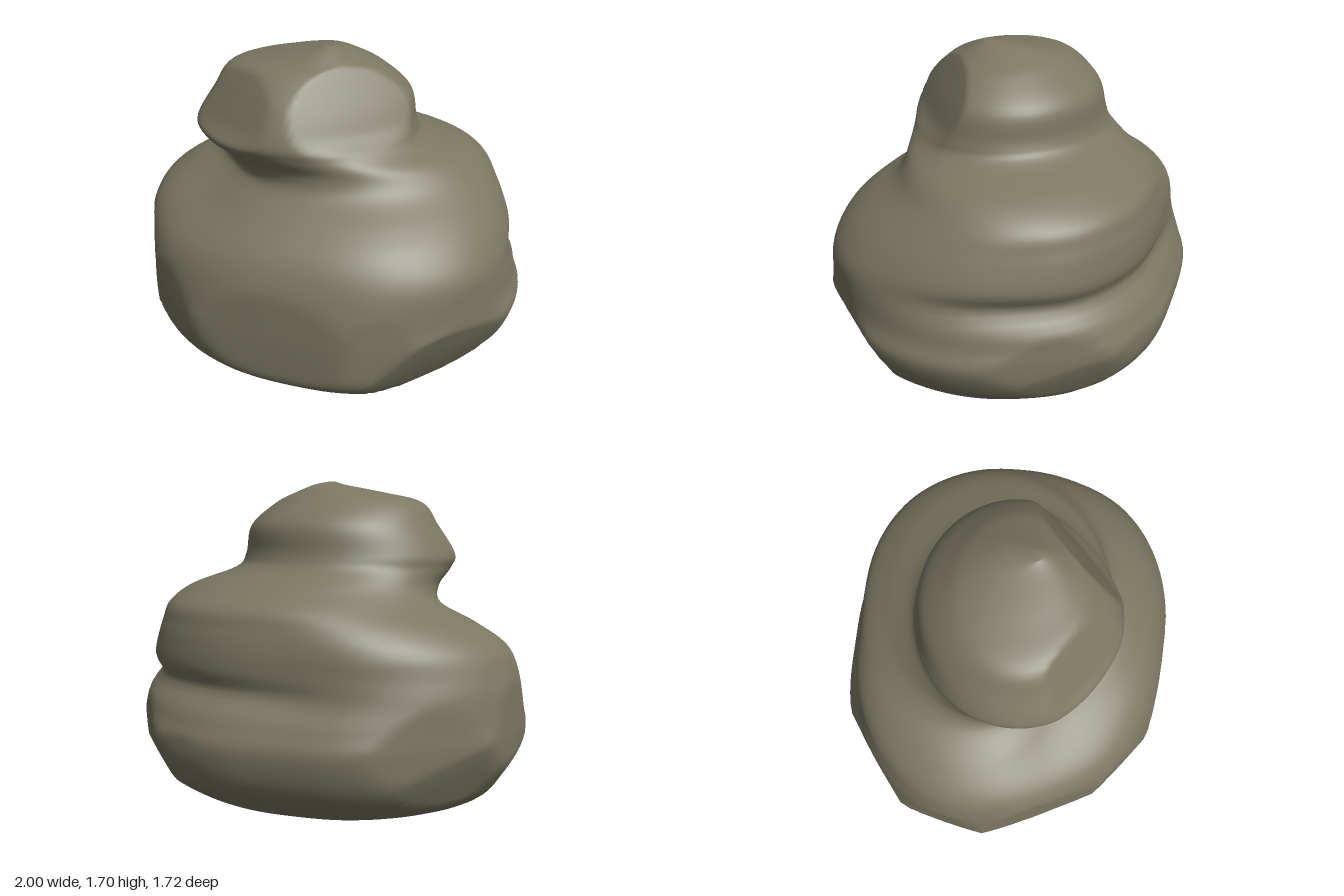
import * as THREE from 'three';

// Horizontal cross-sections of the boulder: y, xMin, xMax, zMin, zMax
const LEVELS = [
  [0.0, 0.05, 0.15, -0.05, 0.05],
  [0.03, -0.12, 0.33, -0.27, 0.24],
  [0.1, -0.45, 0.55, -0.47, 0.46],
  [0.19, -0.79, 0.76, -0.66, 0.66],
  [0.32, -0.91, 0.91, -0.81, 0.82],
  [0.5, -1.0, 0.995, -0.86, 0.86],
  [0.62, -0.985, 0.965, -0.825, 0.845],
  [0.8, -0.95, 0.94, -0.765, 0.8],
  [0.92, -0.9, 0.9, -0.755, 0.74],
  [1.02, -0.77, 0.85, -0.735, 0.64],
  [1.11, -0.6, 0.79, -0.7, 0.52],
  [1.19, -0.57, 0.69, -0.59, 0.49],
  [1.27, -0.61, 0.49, -0.46, 0.52],
  [1.34, -0.625, 0.445, -0.42, 0.53],
  [1.48, -0.54, 0.41, -0.39, 0.47],
  [1.59, -0.46, 0.29, -0.27, 0.36],
  [1.64, -0.27, 0.19, -0.18, 0.27],
  [1.68, -0.07, 0.1, -0.05, 0.19],
  [1.7, 0.0, 0.05, 0.1, 0.14],
];

// Body outline seen from above, relative to an ellipse, in equal turns from +x towards +z
const OUTLINE = [
  1.0, 1.03, 1.06, 1.07, 1.01, 0.99, 0.975, 0.95,
  0.995, 1.05, 1.06, 1.05, 1.0, 1.025, 1.03, 0.995,
];

// Flattened facets: nx, ny, nz, distance, lowest y, highest y
const FACETS = [
  [0.84, 0, -0.54, 0.92, 0, 1.1],
  [0.4, 0, -0.92, 0.9, 0, 1.1],
  [-0.55, 0, -0.835, 0.915, 0, 1.1],
  [-0.96, 0, -0.28, 0.988, 0, 1.1],
  [-0.924, 0, 0.382, 0.89, 0, 1.1],
  [-0.675, 0, 0.738, 0.87, 0, 1.1],
  [-0.14, 0, 0.99, 0.815, 0, 1.1],
  [0.28, 0, 0.96, 0.9, 0, 1.1],
  [0.78, 0, 0.62, 0.965, 0, 1.1],
  [0.6, -0.45, 0.6, 0.58, -0.1, 0.75],
  [-0.5, -0.55, 0.65, 0.57, -0.1, 0.7],
  [0.7, -0.4, -0.55, 0.65, -0.1, 0.7],
  [-0.6, -0.4, -0.65, 0.67, -0.1, 0.7],
  [0.55, 0.45, 0.7, 0.96, 1.2, 2],
  [-0.55, 0.45, 0.7, 1.08, 1.2, 2],
];

const SEGMENTS = 112;
const STEPS = 6;
const bump = (d, width, power = 2) => Math.exp(-(Math.abs(d / width) ** power));
const turnFrom = (angle, centre) => Math.atan2(Math.sin(angle - centre), Math.cos(angle - centre));

function catmull(a, b, c, d, t) {
  return b + 0.5 * t * (c - a + t * (2 * a - 5 * b + 4 * c - d + t * (3 * (b - c) + d - a)));
}

// Smoothly interpolated cross-section between two levels
function sectionAt(s) {
  const last = LEVELS.length - 1;
  const i = Math.min(Math.floor(s), last - 1);
  const row = (k) => LEVELS[Math.max(0, Math.min(last, k))];
  return LEVELS[0].map((_, c) => catmull(row(i - 1)[c], row(i)[c], row(i + 1)[c], row(i + 2)[c], s - i));
}

function outlineAt(angle) {
  const n = OUTLINE.length;
  const s = (angle / (Math.PI * 2)) * n;
  const i = Math.floor(s);
  const at = (k) => OUTLINE[(k + n) % n];
  return catmull(at(i - 1), at(i), at(i + 1), at(i + 2), s - i);
}

function surfacePoint(section, angle) {
  const [y, x0, x1, z0, z1] = section;
  let scale = THREE.MathUtils.lerp(outlineAt(angle), 1, THREE.MathUtils.smoothstep(y, 0.95, 1.2));

  // Crease running around the back and left side, dying out at both ends
  const turn = turnFrom(angle, -0.85);
  const creaseY = 0.75 + 0.03 * turn;
  scale -= 0.065 * bump(y - creaseY, 0.06) * bump(turn, 0.95, 4);
  // Fuller flank at the back right
  scale += 0.03 * bump(turnFrom(angle, 3.9), 0.45) * bump(y - 0.78, 0.14);
  // Square corner at the front left
  scale += 0.04 * bump(turnFrom(angle, 0.8), 0.35) * bump(y - 0.82, 0.17);
  // Lower shoulder at the front right
  scale -= 0.17 * bump(turnFrom(angle, 2.5), 0.5) * bump(y - 1.03, 0.13);

  const p = new THREE.Vector3(
    (x0 + x1) / 2 + Math.cos(angle) * scale * (x1 - x0) / 2,
    y,
    (z0 + z1) / 2 + Math.sin(angle) * scale * (z1 - z0) / 2,
  );
  for (const [nx, ny, nz, dist, low, high] of FACETS) {
    const n = new THREE.Vector3(nx, ny, nz).normalize();
    const over = n.dot(p) - dist;
    if (over <= 0) continue;
    const fade = THREE.MathUtils.smoothstep(p.y, low, low + 0.2)
      * (1 - THREE.MathUtils.smoothstep(p.y, high - 0.2, high));
    p.addScaledVector(n, -over * fade * 0.85);
  }
  return p;
}

// Closed skin through all the cross-sections
function boulderGeometry() {
  const positions = [];
  const indices = [];
  const rings = (LEVELS.length - 1) * STEPS;
  for (let r = 0; r <= rings; r++) {
    const section = sectionAt(r / STEPS);
    for (let k = 0; k < SEGMENTS; k++) {
      const p = surfacePoint(section, (k / SEGMENTS) * Math.PI * 2);
      positions.push(p.x, Math.max(0, p.y), p.z);
    }
  }
  for (let r = 0; r < rings; r++) {
    for (let k = 0; k < SEGMENTS; k++) {
      const a = r * SEGMENTS + k;
      const b = r * SEGMENTS + ((k + 1) % SEGMENTS);
      indices.push(a, a + SEGMENTS, b, b, a + SEGMENTS, b + SEGMENTS);
    }
  }
  // Bottom and top caps
  const bottom = positions.length / 3;
  positions.push(0.1, 0, 0, 0.025, 1.7, 0.12);
  for (let k = 0; k < SEGMENTS; k++) {
    const next = (k + 1) % SEGMENTS;
    const top = rings * SEGMENTS;
    indices.push(bottom, k, next, bottom + 1, top + next, top + k);
  }
  const geometry = new THREE.BufferGeometry();
  geometry.setAttribute('position', new THREE.Float32BufferAttribute(positions, 3));
  geometry.setIndex(indices);
  geometry.computeVertexNormals();
  return geometry;
}

export function createModel() {
  const stone = new THREE.MeshStandardMaterial({ color: 0x7b7762 });
  stone.name = 'olive grey stone';
  const boulder = new THREE.Mesh(boulderGeometry(), stone);
  boulder.name = 'boulder';
  const group = new THREE.Group();
  group.name = 'rock';
  group.add(boulder);
  return group;
}
